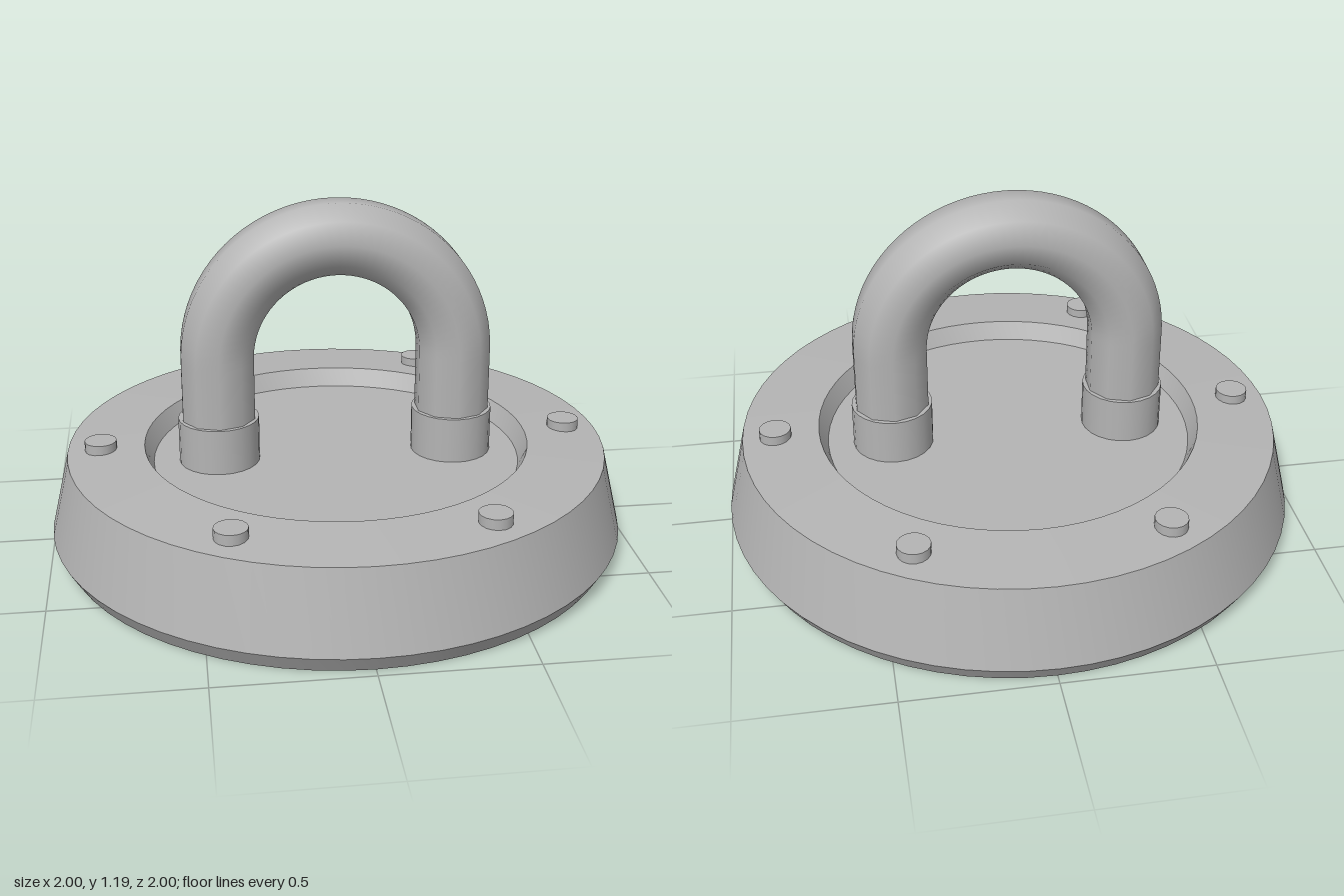
import * as THREE from 'three';
import { toCreasedNormals } from 'three/addons/utils/BufferGeometryUtils.js';

const LEG_X = 0.41;      // distance of each leg from the centre
const LEG_BOTTOM = 0.3;
const ARC_Y = 0.66;      // height where the legs turn into the arch

// Straight leg, half-circle arch, straight leg
class ShacklePath extends THREE.Curve {
  getPoint(t, target = new THREE.Vector3()) {
    const leg = ARC_Y - LEG_BOTTOM;
    const arc = Math.PI * LEG_X;
    const d = t * (2 * leg + arc);
    if (d < leg) return target.set(-LEG_X, LEG_BOTTOM + d, 0);
    if (d > leg + arc) return target.set(LEG_X, ARC_Y - (d - leg - arc), 0);
    const a = Math.PI - (d - leg) / LEG_X;
    return target.set(LEG_X * Math.cos(a), ARC_Y + LEG_X * Math.sin(a), 0);
  }
}

export function createModel() {
  const group = new THREE.Group();
  const steel = new THREE.MeshStandardMaterial({ color: 0xb4b4b4 });
  steel.name = 'steel grey';

  function add(name, geometry, x = 0, y = 0, z = 0) {
    const mesh = new THREE.Mesh(geometry, steel);
    mesh.name = name;
    mesh.position.set(x, y, z);
    group.add(mesh);
  }

  // Round base with chamfered foot, tapered side and recessed top
  const profile = [
    [0, 0], [0.965, 0], [1, 0.06], [0.935, 0.33],
    [0.67, 0.345], [0.64, 0.28], [0, 0.28],
  ].map(([r, y]) => new THREE.Vector2(r, y));
  add('base', toCreasedNormals(new THREE.LatheGeometry(profile, 64), 0.22));

  // Ten-sided bent bar
  add('shackle', new THREE.TubeGeometry(new ShacklePath(), 64, 0.13, 10, false));

  // Collars where the bar meets the base
  const collar = new THREE.CylinderGeometry(0.14, 0.14, 0.16, 24);
  for (const side of [-1, 1]) {
    add(side < 0 ? 'rightCollar' : 'leftCollar', collar, side * LEG_X, 0.36, 0);
  }

  // Six bolts around the rim
  const bolt = new THREE.CylinderGeometry(0.055, 0.055, 0.05, 16);
  for (let i = 0; i < 6; i++) {
    const a = (i * Math.PI) / 3;
    add('bolt' + (i + 1), bolt, 0.82 * Math.cos(a), 0.345, 0.82 * Math.sin(a));
  }

  return group;
}
